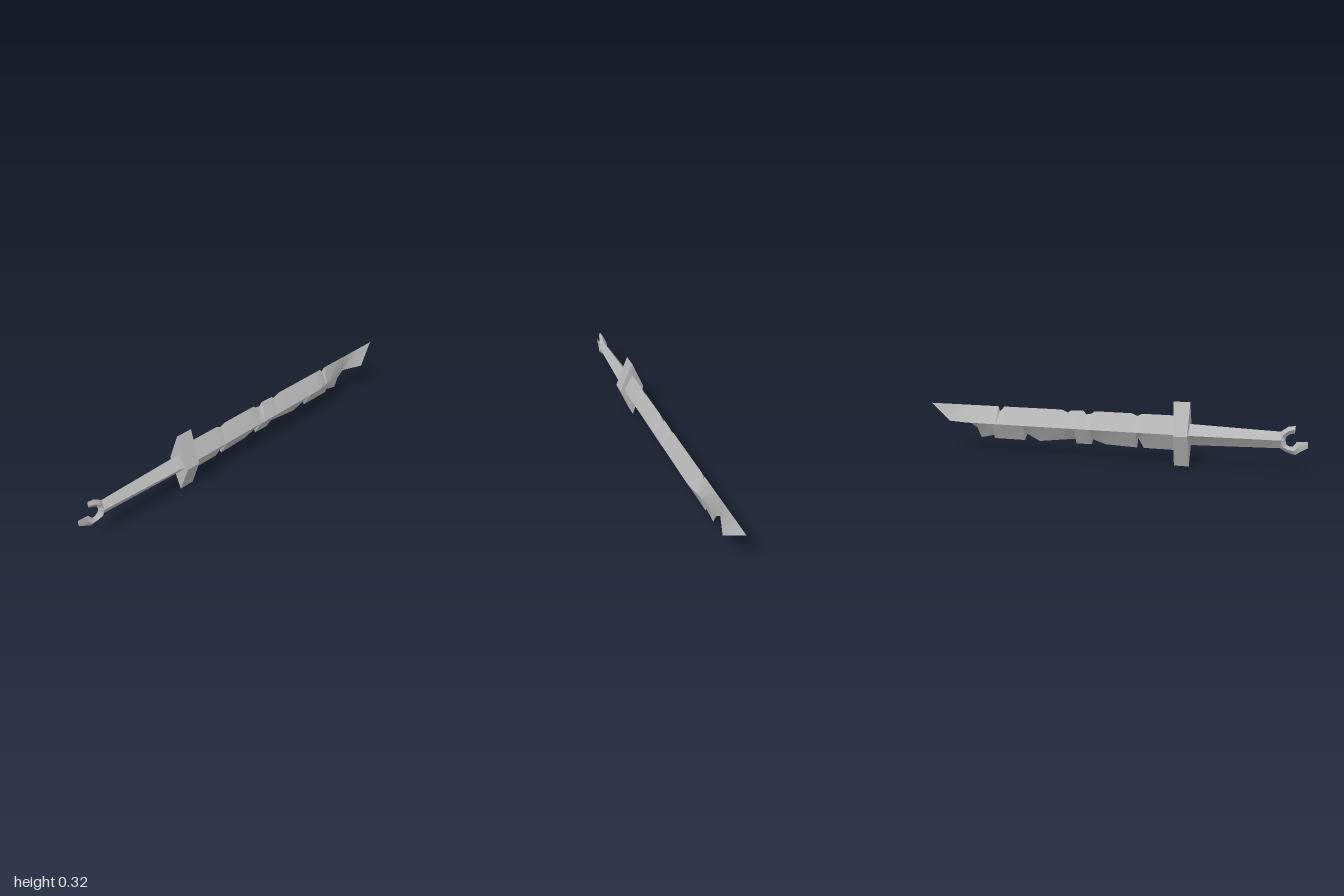
import * as THREE from 'three';
import { toCreasedNormals } from 'three/addons/utils/BufferGeometryUtils.js';

const MID = 0.165; // height of the blade ridge

// Linear interpolation through [z, value] points listed from high z to low z
function at(points, z) {
  if (z >= points[0][0]) return points[0][1];
  for (let i = 1; i < points.length; i++) {
    const [z0, v0] = points[i - 1], [z1, v1] = points[i];
    if (z >= z1) return v0 + (v1 - v0) * (z0 - z) / (z0 - z1);
  }
  return points[points.length - 1][1];
}

// Skin a row of four-cornered rings (right, top, left, bottom) and cap the ends
function loft(rings, crease = 0.6) {
  const index = [0, 1, 2, 0, 2, 3];
  for (let i = 0; i < rings.length - 1; i++) {
    for (let j = 0; j < 4; j++) {
      const k = (j + 1) % 4;
      const a = i * 4 + j, b = i * 4 + k, c = b + 4, d = a + 4;
      index.push(a, d, c, a, c, b);
    }
  }
  const e = (rings.length - 1) * 4;
  index.push(e, e + 2, e + 1, e, e + 3, e + 2);
  const g = new THREE.BufferGeometry();
  g.setAttribute('position', new THREE.Float32BufferAttribute(rings.flat(2), 3));
  g.setIndex(index);
  return toCreasedNormals(g, crease);
}

// Chipped blade: notched outlines and ridges that bend near the tip
function bladeGeometry() {
  const top = [
    [0.37, 0.255], [0.19, 0.255], [0.165, 0.243], [0.135, 0.255], [-0.06, 0.255],
    [-0.075, 0.243], [-0.105, 0.236], [-0.12, 0.255], [-0.19, 0.252], [-0.205, 0.241],
    [-0.24, 0.255], [-0.565, 0.255], [-0.59, 0.228], [-0.6, 0.255], [-1, 0.255],
  ];
  const bottom = [
    [0.37, 0.08], [0.2, 0.08], [0.17, 0.13], [0.165, 0.08], [0, 0.086],
    [-0.07, 0.107], [-0.075, 0.082], [-0.16, 0.08], [-0.165, 0.105], [-0.365, 0.08],
    [-0.435, 0.114], [-0.45, 0.08], [-0.625, 0.08], [-0.63, 0.097], [-0.705, 0.08],
    [-0.725, 0.13], [-0.765, MID], [-0.88, MID], [-1, 0.255],
  ];
  const right = [[0.37, 0.045], [-0.52, 0.045], [-0.77, 0.001], [-0.88, 0.042], [-1, 0]];
  const left = [[0.37, -0.045], [-0.77, -0.045], [-1, 0]];
  const ridge = [[0.37, MID], [-0.88, MID], [-1, 0.255]];
  const stations = [...new Set([top, bottom, right, left].flat().map(p => p[0]))];
  stations.sort((a, b) => b - a);
  return loft(stations.map(z => {
    const r = at(right, z), l = at(left, z), y = at(ridge, z);
    const low = z < -0.76 ? (r + l) / 2 : 0;
    return [[r, y, z], [0, at(top, z), z], [l, y, z], [low, at(bottom, z), z]];
  }));
}

// Diamond guard whose points flare toward the blade
function guardGeometry() {
  const half = 0.1625, shape = new THREE.Shape();
  const inset = 0.03, w = 0.067 * inset / half;
  shape.setFromPoints([
    [0.067, half], [w, 2 * half - inset], [0, 2 * half], [-w, 2 * half - inset],
    [-0.067, half], [-w, inset], [0, 0], [w, inset],
  ].map(p => new THREE.Vector2(...p)));
  const g = new THREE.ExtrudeGeometry(shape, { depth: 0.07, bevelEnabled: false });
  g.translate(0, 0, 0.362);
  const p = g.attributes.position;
  for (let i = 0; i < p.count; i++) {
    if (p.getZ(i) > 0.4) continue;
    if (p.getY(i) > 0.32) p.setZ(i, 0.348);
    if (p.getY(i) < 0.005) p.setZ(i, 0.356);
  }
  g.computeVertexNormals();
  return g;
}

// Tapered diamond grip: [z, half width, top, bottom]
function gripGeometry() {
  return loft([
    [0.885, 0.022, 0.198, 0.127],
    [0.87, 0.025, 0.204, 0.123],
    [0.42, 0.044, 0.217, 0.11],
  ].map(([z, w, t, b]) => [[w, MID, z], [0, t, z], [-w, MID, z], [0, b, z]]));
}

// Open hook at the end of the grip: [outer z, outer y, inner z, inner y, half width]
function hookGeometry() {
  return loft([
    [0.937, 0.235, 0.935, 0.2, 0.008],
    [0.905, 0.231, 0.912, 0.193, 0.014],
    [0.868, 0.203, 0.897, 0.182, 0.02],
    [0.855, 0.165, 0.892, 0.165, 0.023],
    [0.868, 0.123, 0.899, 0.142, 0.02],
    [0.9, 0.105, 0.912, 0.134, 0.015],
    [0.94, 0.095, 0.928, 0.134, 0.011],
    [0.972, 0.115, 0.946, 0.159, 0.007],
    [0.998, 0.132, 0.997, 0.162, 0.002],
  ].map(([oz, oy, iz, iy, w]) => {
    const y = (oy + iy) / 2, z = (oz + iz) / 2;
    return [[w, y, z], [0, oy, oz], [-w, y, z], [0, iy, iz]];
  }));
}

export function createModel() {
  const steel = new THREE.MeshStandardMaterial({ color: 0xb8b8b8 });
  steel.name = 'greySteel';
  const group = new THREE.Group();
  group.name = 'brokenSword';
  const parts = {
    blade: bladeGeometry(),
    guard: guardGeometry(),
    grip: gripGeometry(),
    pommelHook: hookGeometry(),
  };
  for (const [name, geometry] of Object.entries(parts)) {
    const mesh = new THREE.Mesh(geometry, steel);
    mesh.name = name;
    group.add(mesh);
  }
  return group;
}
